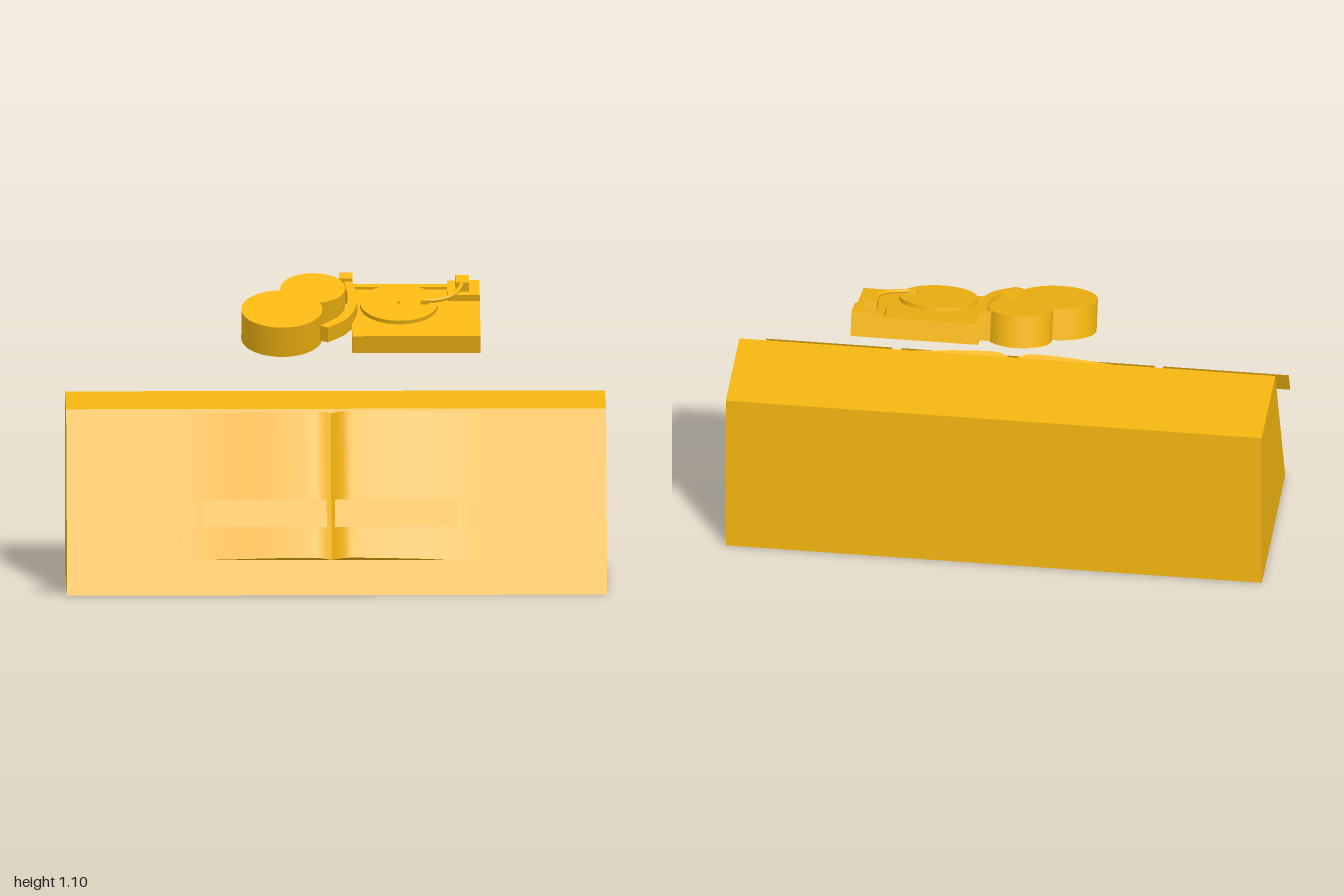
import * as THREE from 'three';
import { toCreasedNormals } from 'three/addons/utils/BufferGeometryUtils.js';

const gold = new THREE.MeshStandardMaterial({ color: 0xf5b611 });
const goldThin = new THREE.MeshStandardMaterial({ color: 0xf5b611, side: THREE.DoubleSide });

function add(parent, name, geometry, material = gold) {
  const mesh = new THREE.Mesh(geometry, material);
  mesh.name = name;
  parent.add(mesh);
  return mesh;
}

function extrude(shape, depth, curveSegments = 24) {
  return new THREE.ExtrudeGeometry(shape, { depth, bevelEnabled: false, curveSegments });
}

// Plan shape (x, distance back) raised from height v0 to v1
function plan(shape, v0, v1) {
  const g = extrude(shape, v1 - v0).rotateX(-Math.PI / 2).translate(0, v0, 0);
  return toCreasedNormals(g, 0.6);
}

// Box given by its x, height and distance-back ranges
function block(x0, x1, v0, v1, u0, u1) {
  return new THREE.BoxGeometry(x1 - x0, v1 - v0, u1 - u0)
    .translate((x0 + x1) / 2, (v0 + v1) / 2, -(u0 + u1) / 2);
}

function rect(path, x0, x1, u0, u1) {
  path.moveTo(x0, u0).lineTo(x1, u0).lineTo(x1, u1).lineTo(x0, u1).closePath();
  return path;
}

export function createModel() {
  const model = new THREE.Group();
  model.name = 'displayStand';
  const slope = -Math.atan2(0.3, 0.65);

  // Wedge desk with a sloping front
  const side = new THREE.Shape();
  side.moveTo(-0.28, 0).lineTo(0.43, 0).lineTo(0.43, 0.65).lineTo(0.02, 0.65).closePath();
  add(model, 'desk', extrude(side, 2).translate(0, 0, -1).rotateY(Math.PI / 2));

  // Open book swelling out of the slope on either side of its spine
  const spine = -0.02, reach = 0.56, crest = 0.07;
  const page = new THREE.Shape();
  page.moveTo(spine - reach, -0.004);
  for (let i = 0; i <= 80; i++) {
    const x = spine - reach + (2 * reach * i) / 80;
    const d = Math.abs(x - spine);
    const h = d < crest
      ? 0.03 * Math.sin((Math.PI / 2) * (d / crest))
      : 0.015 * (1 + Math.cos((Math.PI * (d - crest)) / (reach - crest)));
    page.lineTo(x, h + 0.0005);
  }
  page.lineTo(spine + reach, -0.004);
  const pages = extrude(page, 0.564).rotateX(Math.PI / 2).translate(0, 0.699, 0);
  const book = add(model, 'openBook', toCreasedNormals(pages, 0.6));
  book.position.z = 0.28;
  book.rotation.x = slope;

  // Four thin label panels floating in front of the slope
  for (const [x0, x1] of [[-1, -0.53], [-0.5, -0.04], [-0.01, 0.445], [0.48, 0.95]]) {
    const panel = add(model, 'labelPanel', new THREE.PlaneGeometry(x1 - x0, 0.105), goldThin);
    panel.position.set((x0 + x1) / 2, 0.328, 0.409);
    panel.rotation.x = slope;
  }

  // Tilted group floating above the desk
  const deck = new THREE.Group();
  deck.name = 'tiltedInstruments';
  deck.position.set(0, 0.845, -0.02);
  deck.rotation.x = 0.317;
  model.add(deck);

  // Two-lobed case: outline of two overlapping circles
  const A = { x: -0.2, u: 0.15, r: 0.15 }, B = { x: -0.083, u: 0.317, r: 0.12 };
  const dist = Math.hypot(B.x - A.x, B.u - A.u);
  const dir = Math.atan2(B.u - A.u, B.x - A.x);
  const along = (dist * dist + A.r * A.r - B.r * B.r) / (2 * dist);
  const a = Math.acos(along / A.r), b = Math.acos((dist - along) / B.r);
  const lobes = new THREE.Shape();
  lobes.absarc(A.x, A.u, A.r, dir + a, dir - a + 2 * Math.PI, false);
  lobes.absarc(B.x, B.u, B.r, dir - Math.PI + b, dir + Math.PI - b, false);
  add(deck, 'lobedCase', plan(lobes, 0, 0.122));

  // Curved neck with a block at its back end
  const neck = new THREE.Shape();
  neck.moveTo(-0.03, 0.02);
  neck.splineThru([[0.045, 0.1], [0.082, 0.24], [0.06, 0.41]].map(p => new THREE.Vector2(...p)));
  neck.lineTo(0.03, 0.41);
  neck.splineThru([[0.045, 0.25], [0.015, 0.12], [-0.06, 0.035]].map(p => new THREE.Vector2(...p)));
  neck.closePath();
  add(deck, 'curvedNeck', plan(neck, 0.05, 0.112));
  add(deck, 'neckEndBlock', block(0.015, 0.065, 0.02, 0.125, 0.39, 0.437));

  // Record player body, hollowed from below
  const rim = rect(new THREE.Shape(), 0.06, 0.535, 0.03, 0.43);
  rim.holes.push(rect(new THREE.Path(), 0.085, 0.51, 0.055, 0.405));
  add(deck, 'playerRim', plan(rim, 0, 0.045));
  add(deck, 'playerTop', block(0.06, 0.535, 0.045, 0.07, 0.03, 0.43));
  add(deck, 'playerBackStrip', block(0.06, 0.535, 0.07, 0.08, 0.405, 0.43));

  // Platter on its column, with a centre pin
  for (const [name, r, v0, v1] of [
    ['platterColumn', 0.02, 0.07, 0.1],
    ['platter', 0.145, 0.098, 0.113],
    ['centrePin', 0.006, 0.113, 0.12],
  ]) {
    add(deck, name, new THREE.CylinderGeometry(r, r, v1 - v0, 48).translate(0.235, (v0 + v1) / 2, -0.216));
  }

  // Tonearm and its mount
  add(deck, 'tonearmPlinth', block(0.415, 0.535, 0.07, 0.095, 0.31, 0.43));
  add(deck, 'tonearmMount', block(0.445, 0.495, 0.095, 0.132, 0.34, 0.4));
  const armPath = new THREE.CatmullRomCurve3([
    [0.47, 0.36], [0.46, 0.31], [0.43, 0.25], [0.38, 0.218], [0.325, 0.21],
  ].map(([x, u]) => new THREE.Vector3(x, 0.124, -u)));
  add(deck, 'tonearm', new THREE.TubeGeometry(armPath, 32, 0.008, 10));
  add(deck, 'tonearmHead', block(0.315, 0.345, 0.113, 0.13, 0.2, 0.22));

  return model;
}
